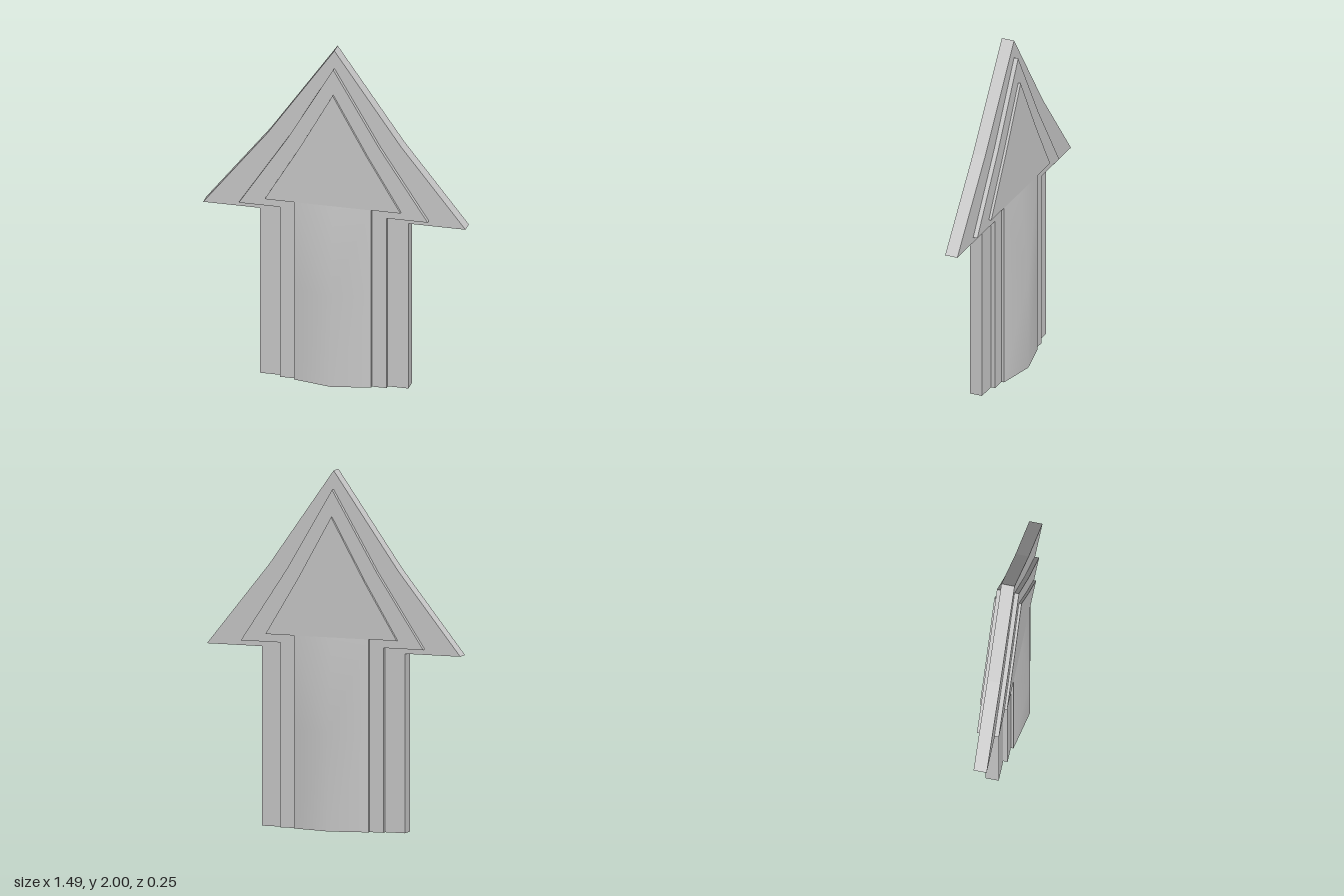
import * as THREE from 'three';

const material = new THREE.MeshStandardMaterial({ color: 0xcccccc });

// Arrow-shaped slab, mirrored about x = 0; half = right-hand outline from tip to foot
function arrowLayer(name, half, halfDepth) {
  const left = half.slice(1).reverse().map(([x, y]) => [-x, y]);
  const shape = new THREE.Shape([...half, ...left].map(([x, y]) => new THREE.Vector2(x, y)));
  const geometry = new THREE.ExtrudeGeometry(shape, { depth: 2 * halfDepth, bevelEnabled: false });
  geometry.translate(0, 0, -halfDepth);
  const mesh = new THREE.Mesh(geometry, material);
  mesh.name = name;
  return mesh;
}

// Raised shaft spine: triangular section that fades into the head at its top
function shaftRidge(name) {
  const w = 0.22, base = 0.077, peak = 0.123;
  const points = [];
  for (const [y, crest] of [[0, peak], [0.55, peak], [1.075, base]]) {
    points.push(-w, y, base, 0, y, crest, w, y, base);
  }
  // separate corners for the foot so its edge stays sharp
  points.push(-w, 0, base, w, 0, base, 0, 0, peak);
  const geometry = new THREE.BufferGeometry();
  geometry.setAttribute('position', new THREE.Float32BufferAttribute(points, 3));
  geometry.setIndex([
    0, 1, 4, 0, 4, 3, 1, 2, 5, 1, 5, 4, // lower shaft
    3, 4, 6, 4, 7, 6, 4, 5, 8, 4, 8, 7, // taper
    9, 10, 11, // foot
  ]);
  geometry.computeVertexNormals();
  const mesh = new THREE.Mesh(geometry, material);
  mesh.name = name;
  return mesh;
}

export function createModel() {
  const group = new THREE.Group();
  group.name = 'arrow';

  // Three stepped layers, each smaller and thicker than the last
  group.add(
    arrowLayer('outerLayer', [[0, 2], [0.38, 1.46], [0.747, 1], [0.422, 1], [0.422, 0]], 0.037),
    arrowLayer('middleLayer', [[0, 1.895], [0.263, 1.447], [0.538, 1.03], [0.304, 1.03], [0.304, 0]], 0.062),
    arrowLayer('innerLayer', [[0, 1.745], [0.195, 1.395], [0.387, 1.075], [0.22, 1.075], [0.22, 0]], 0.077),
  );

  // Spine on both faces of the shaft
  const back = shaftRidge('backRidge');
  back.rotation.y = Math.PI;
  group.add(shaftRidge('frontRidge'), back);
  return group;
}
